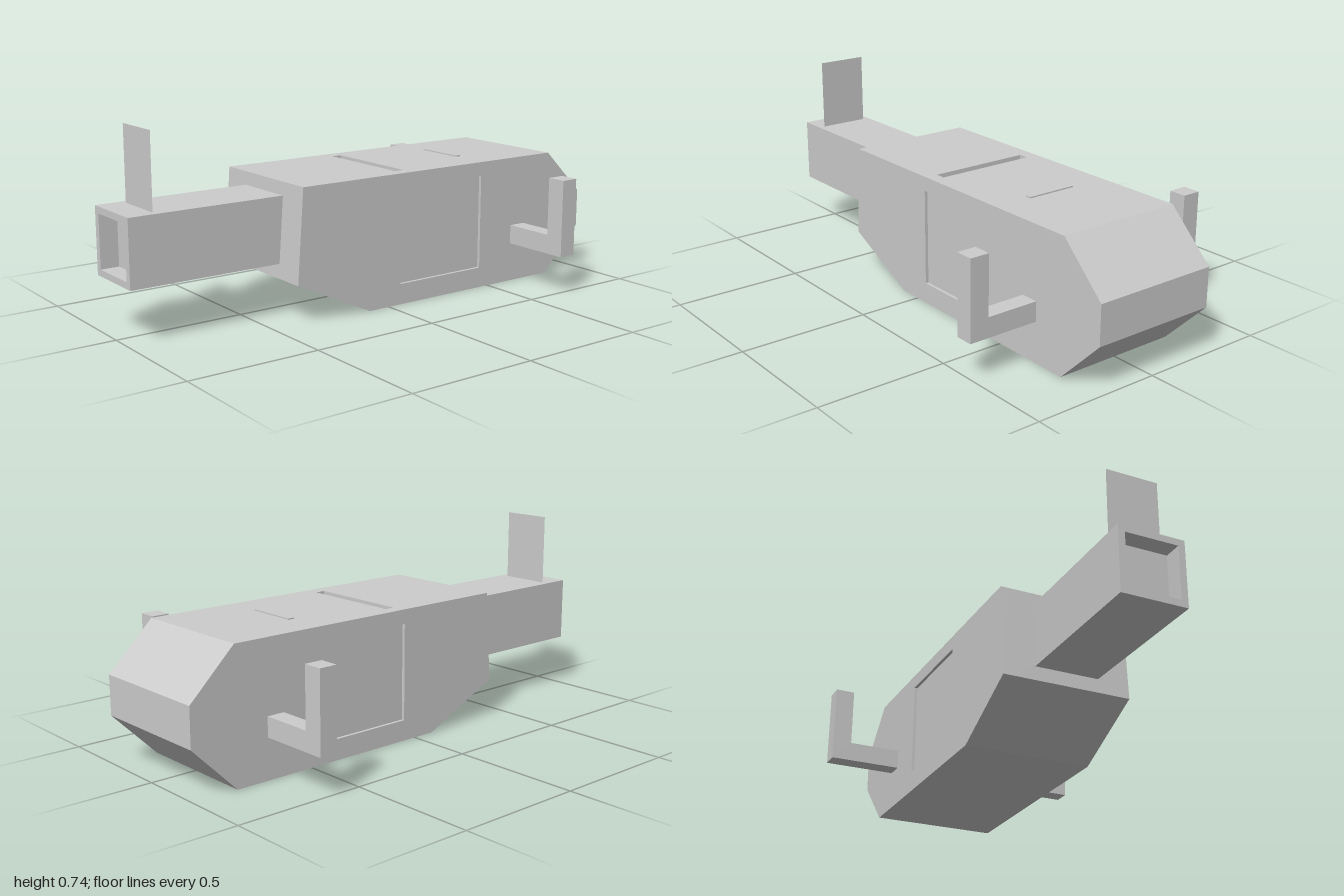
import * as THREE from 'three';

const material = new THREE.MeshStandardMaterial({ color: 0xcccccc, flatShading: true, side: THREE.DoubleSide });

function add(parent, name, geometry) {
  const mesh = new THREE.Mesh(geometry, material);
  mesh.name = name;
  parent.add(mesh);
  return mesh;
}

// box given by its lower and upper corners
function box(parent, name, [x0, y0, z0], [x1, y1, z1]) {
  const mesh = add(parent, name, new THREE.BoxGeometry(x1 - x0, y1 - y0, z1 - z0));
  mesh.position.set((x0 + x1) / 2, (y0 + y1) / 2, (z0 + z1) / 2);
  return mesh;
}

// side profile as [z, y] points, optionally notched along the top
function profile(notch = []) {
  const points = [[0.385, 0.505], ...notch, [-0.82, 0.505], [-1, 0.33], [-1, 0.18],
    [-0.82, 0], [0.09, 0], [0.41, 0.15]];
  return new THREE.Shape(points.map(([z, y]) => new THREE.Vector2(-z, y)));
}

// a slice of the hull between two x values
function slice(parent, name, shape, x0, x1) {
  const geometry = new THREE.ExtrudeGeometry(shape, { depth: x1 - x0, bevelEnabled: false });
  geometry.rotateY(Math.PI / 2).translate(x0, 0, 0);
  return add(parent, name, geometry);
}

function rectPath(x0, y0, x1, y1, Type = THREE.Path) {
  return new Type([[x0, y0], [x1, y0], [x1, y1], [x0, y1]].map(p => new THREE.Vector2(...p)));
}

export function createModel() {
  const model = new THREE.Group();
  model.name = 'model';

  // hull: grooved core, plain flanks, thin outer skins with a recessed panel
  const hull = new THREE.Group();
  hull.name = 'hull';
  model.add(hull);
  const groove = [[-0.065, 0.505], [-0.065, 0.455], [-0.105, 0.455], [-0.105, 0.505]];
  slice(hull, 'hullCore', profile(groove), -0.2, 0.2);
  for (const side of [-1, 1]) {
    const span = (a, b) => (side > 0 ? [a, b] : [-b, -a]);
    slice(hull, 'hullFlank', profile(), ...span(0.2, 0.238));
    const skin = profile();
    skin.holes.push(rectPath(0.055, 0.08, 0.455, 0.45));
    slice(hull, 'hullSkin', skin, ...span(0.238, 0.25));
  }

  // small raised strip on the roof
  box(model, 'roofStrip', [-0.1, 0.5, -0.477], [0.1, 0.51, -0.453]);

  // square snout with a shallow opening at the front
  box(model, 'snout', [-0.125, 0.205, 0.37], [0.125, 0.455, 0.93]);
  const rim = rectPath(-0.125, 0.205, 0.125, 0.455, THREE.Shape);
  rim.holes.push(rectPath(-0.1, 0.23, 0.1, 0.43));
  add(model, 'snoutRim', new THREE.ExtrudeGeometry(rim, { depth: 0.07, bevelEnabled: false })).position.z = 0.93;

  // upright sheet on the snout
  add(model, 'sightPlate', new THREE.PlaneGeometry(0.2, 0.28)).position.set(0, 0.595, 0.895);

  // L-shaped arms on both sides
  for (const side of [-1, 1]) {
    const corners = [[0.25, 0.155], [0.53, 0.155], [0.53, 0.455], [0.455, 0.455], [0.455, 0.23], [0.25, 0.23]];
    const shape = new THREE.Shape(corners.map(([x, y]) => new THREE.Vector2(side * x, y)));
    const arm = new THREE.ExtrudeGeometry(shape, { depth: 0.07, bevelEnabled: false });
    add(model, side > 0 ? 'leftArm' : 'rightArm', arm).position.z = -0.69;
  }
  return model;
}
